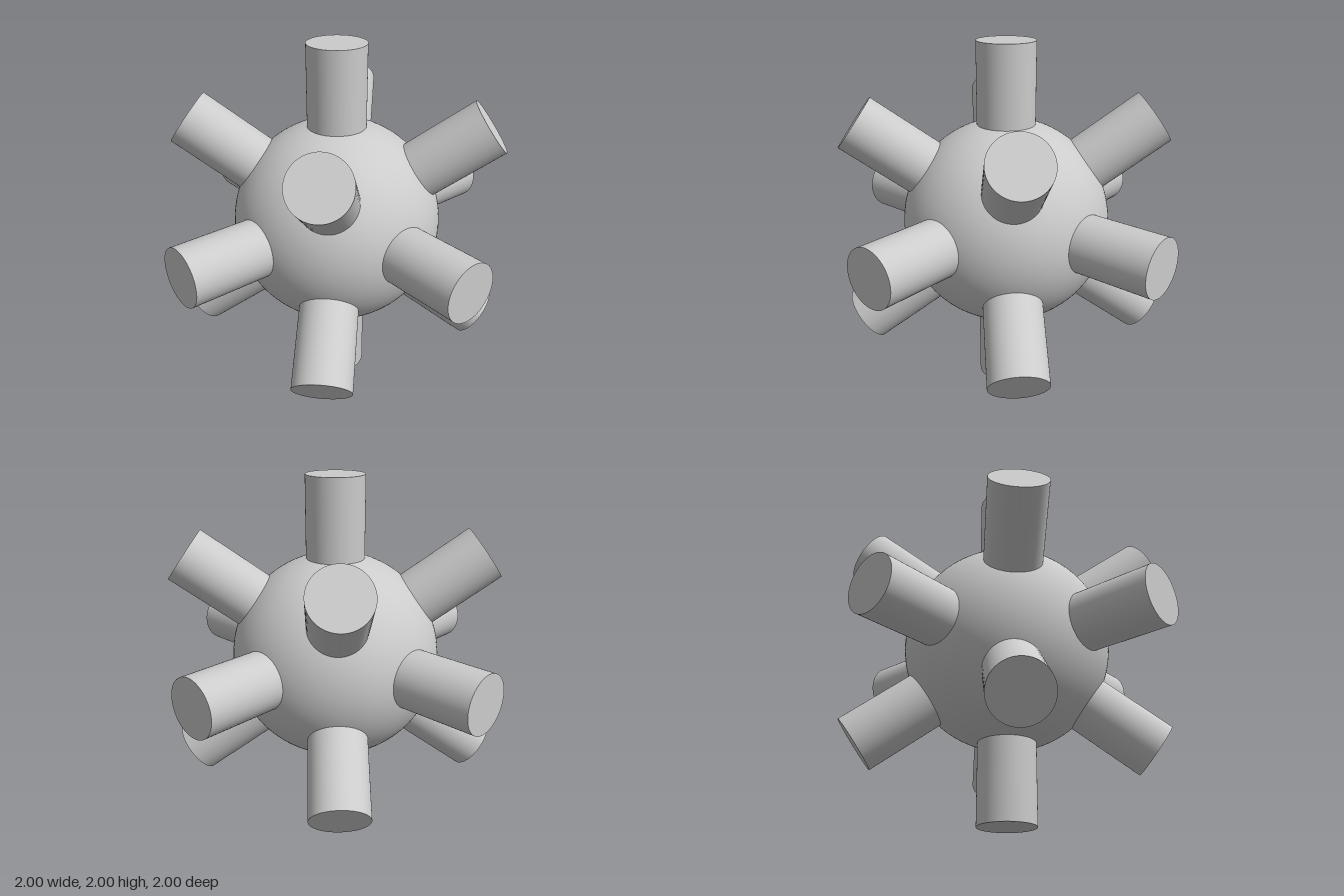
import * as THREE from 'three';

const CORE_RADIUS = 0.578;
const PEG_RADIUS = 0.16;
const PEG_ROOT = 0.545; // just under the sphere surface
const PEG_TIP = 1;

export function createModel() {
  const model = new THREE.Group();
  model.name = 'spikedBall';
  const material = new THREE.MeshStandardMaterial({ color: 0xcccccc });

  // Central ball
  const core = new THREE.Mesh(new THREE.SphereGeometry(CORE_RADIUS, 96, 64), material);
  core.name = 'ball';
  core.position.y = 1;
  model.add(core);

  // One round peg, standing along +y from the ball's centre
  const pegGeometry = new THREE.CylinderGeometry(PEG_RADIUS, PEG_RADIUS, PEG_TIP - PEG_ROOT, 64);
  pegGeometry.translate(0, (PEG_ROOT + PEG_TIP) / 2, 0);

  const up = new THREE.Vector3(0, 1, 0);
  const addPeg = (name, x, y, z) => {
    const peg = new THREE.Mesh(pegGeometry, material);
    peg.name = name;
    peg.position.y = 1;
    peg.quaternion.setFromUnitVectors(up, new THREE.Vector3(x, y, z).normalize());
    model.add(peg);
  };

  // Six pegs along the axes
  for (const s of [-1, 1]) {
    addPeg(s > 0 ? 'leftPeg' : 'rightPeg', s, 0, 0);
    addPeg(s > 0 ? 'topPeg' : 'bottomPeg', 0, s, 0);
    addPeg(s > 0 ? 'frontPeg' : 'backPeg', 0, 0, s);
  }

  // Eight pegs toward the corners of a cube
  for (const x of [-1, 1])
    for (const y of [-1, 1])
      for (const z of [-1, 1])
        addPeg(`${y > 0 ? 'upper' : 'lower'}${z > 0 ? 'Front' : 'Back'}${x > 0 ? 'Left' : 'Right'}Peg`, x, y, z);

  return model;
}
